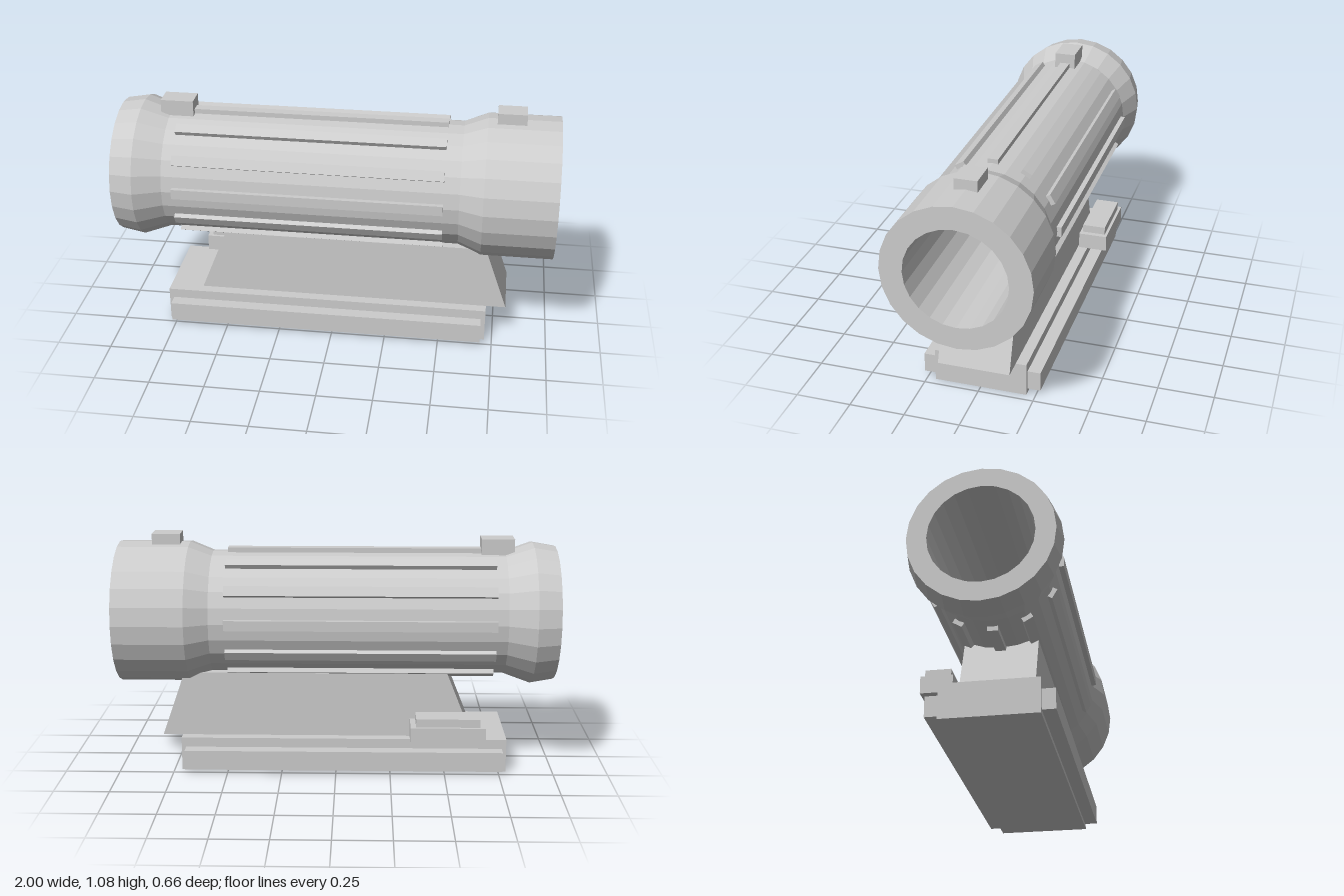
import * as THREE from 'three';

export function createModel() {
  const model = new THREE.Group();
  model.name = 'opticalSight';
  const grey = new THREE.MeshStandardMaterial({ color: 0xcccccc, flatShading: true });
  grey.name = 'grey';
  const axisY = 0.711;

  const add = (name, geometry, parent = model) => {
    const mesh = new THREE.Mesh(geometry, grey);
    mesh.name = name;
    parent.add(mesh);
    return mesh;
  };
  // Box given by its extents on each axis
  const box = (name, [x0, x1], [y0, y1], [z0, z1], parent) => {
    const mesh = add(name, new THREE.BoxGeometry(x1 - x0, y1 - y0, z1 - z0), parent);
    mesh.position.set((x0 + x1) / 2, (y0 + y1) / 2, (z0 + z1) / 2);
    return mesh;
  };

  // Hollow tube with flared ends: closed profile of [radius, x]
  const profile = [
    [0.225, -1], [0.31, -1], [0.328, -0.895], [0.283, -0.77],
    [0.283, 0.57], [0.326, 0.675], [0.326, 1], [0.225, 1], [0.225, -1],
  ].map(([r, x]) => new THREE.Vector2(r, x));
  const tube = add('tube', new THREE.LatheGeometry(profile, 24).rotateZ(-Math.PI / 2));
  tube.position.y = axisY;

  // Twelve grip ribs around the tube
  const ribs = new THREE.Group();
  ribs.name = 'gripRibs';
  ribs.position.y = axisY;
  model.add(ribs);
  for (let i = 0; i < 12; i++) {
    const pivot = new THREE.Group();
    pivot.name = 'ribPivot';
    pivot.rotation.x = (i * Math.PI) / 6;
    ribs.add(pivot);
    box('rib', [-0.72, 0.5], [0.26, 0.302], [-0.023, 0.023], pivot);
  }

  // Small blocks on top of the tube
  box('rearTopBlock', [-0.81, -0.66], [0.97, 1.06], [-0.05, 0.05]);
  box('frontTopBlock', [0.715, 0.845], [1.02, 1.08], [-0.05, 0.05]);

  // Tapered mount between the tube and the base
  const side = new THREE.Shape([
    [-0.63, 0.155], [0.805, 0.155], [0.7, 0.455], [-0.51, 0.455],
  ].map(([x, y]) => new THREE.Vector2(x, y)));
  const mount = new THREE.ExtrudeGeometry(side, { depth: 0.324, bevelEnabled: false });
  add('mount', mount.translate(0, 0, -0.162));

  // Base with a rail on each side
  box('base', [-0.785, 0.715], [0, 0.155], [-0.21, 0.21]);
  box('leftRail', [-0.765, 0.695], [0.02, 0.111], [0.2, 0.268]);
  box('rightRail', [-0.765, 0.695], [0.02, 0.111], [-0.268, -0.2]);

  // Clamp lever at the back
  box('leverBody', [-0.68, -0.34], [0.165, 0.242], [-0.31, -0.172]);
  box('leverCap', [-0.655, -0.365], [0.242, 0.28], [-0.296, -0.185]);

  return model;
}
